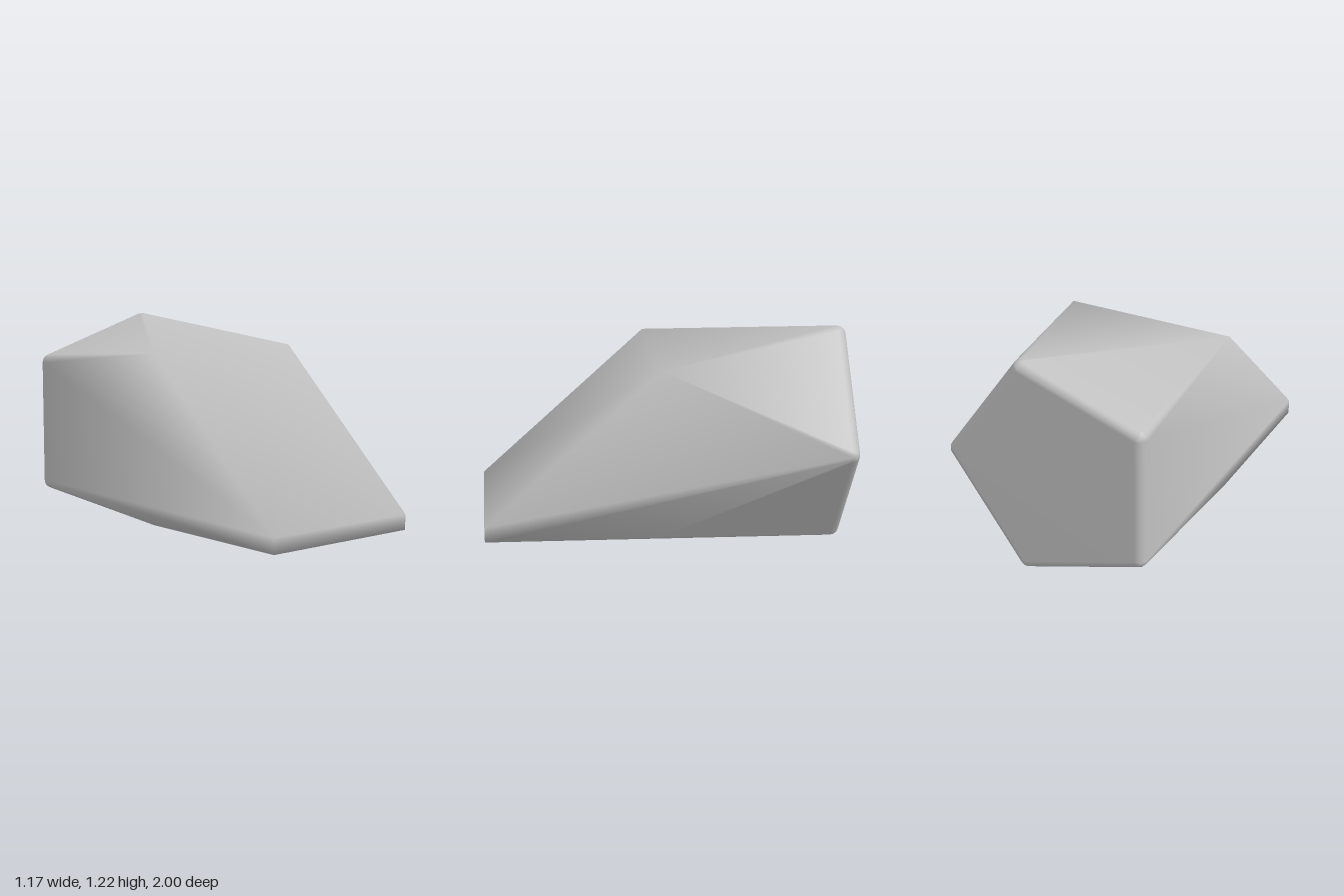
import * as THREE from 'three';
import { mergeVertices } from 'three/addons/utils/BufferGeometryUtils.js';
import { ConvexGeometry } from 'three/addons/geometries/ConvexGeometry.js';

const CENTRE_X = -0.0585, CENTRE_Y = 0.613;

// Pentagonal back end: each corner is a small rounded patch
function backPoints(radius, bevel, steps) {
  const points = [];
  for (let i = 0; i < 5; i++) {
    const corner = (i * Math.PI * 2) / 5;
    const x = CENTRE_X + radius * Math.cos(corner);
    const y = CENTRE_Y + radius * Math.sin(corner);
    points.push(new THREE.Vector3(x, y, -1));
    for (let j = 0; j < steps; j++) {
      const tilt = (j / steps) * Math.PI / 2;
      for (let k = 0; k <= steps; k++) {
        const turn = corner + (k / steps - 0.5) * Math.PI * 2 / 5;
        points.push(new THREE.Vector3(
          x + bevel * Math.cos(tilt) * Math.cos(turn),
          y + bevel * Math.cos(tilt) * Math.sin(turn),
          -1 + bevel - bevel * Math.sin(tilt)));
      }
    }
  }
  return points;
}

// Four corners of an upright rectangle
function rectangle(x0, x1, y0, y1, z) {
  return [[x0, y0], [x1, y0], [x1, y1], [x0, y1]].map(([x, y]) => new THREE.Vector3(x, y, z));
}

export function createModel() {
  const grey = new THREE.MeshStandardMaterial({ color: 0xc0c0c0 });
  grey.name = 'stone grey';

  // Body spans the pentagon, a square middle section and a thin front lip
  const hull = new ConvexGeometry([
    ...backPoints(0.589, 0.05, 4),
    ...rectangle(-0.54, 0.425, 0.154, 1.078, 0.05),
    ...rectangle(-0.52, 0.405, 0.156, 0.24, 1),
  ]);

  // Weld the faces for smooth shading
  hull.deleteAttribute('normal');
  const geometry = mergeVertices(hull, 1e-4);
  geometry.computeVertexNormals();

  const body = new THREE.Mesh(geometry, grey);
  body.name = 'facetedBody';
  const group = new THREE.Group();
  group.name = 'facetedBlock';
  group.add(body);
  return group;
}
